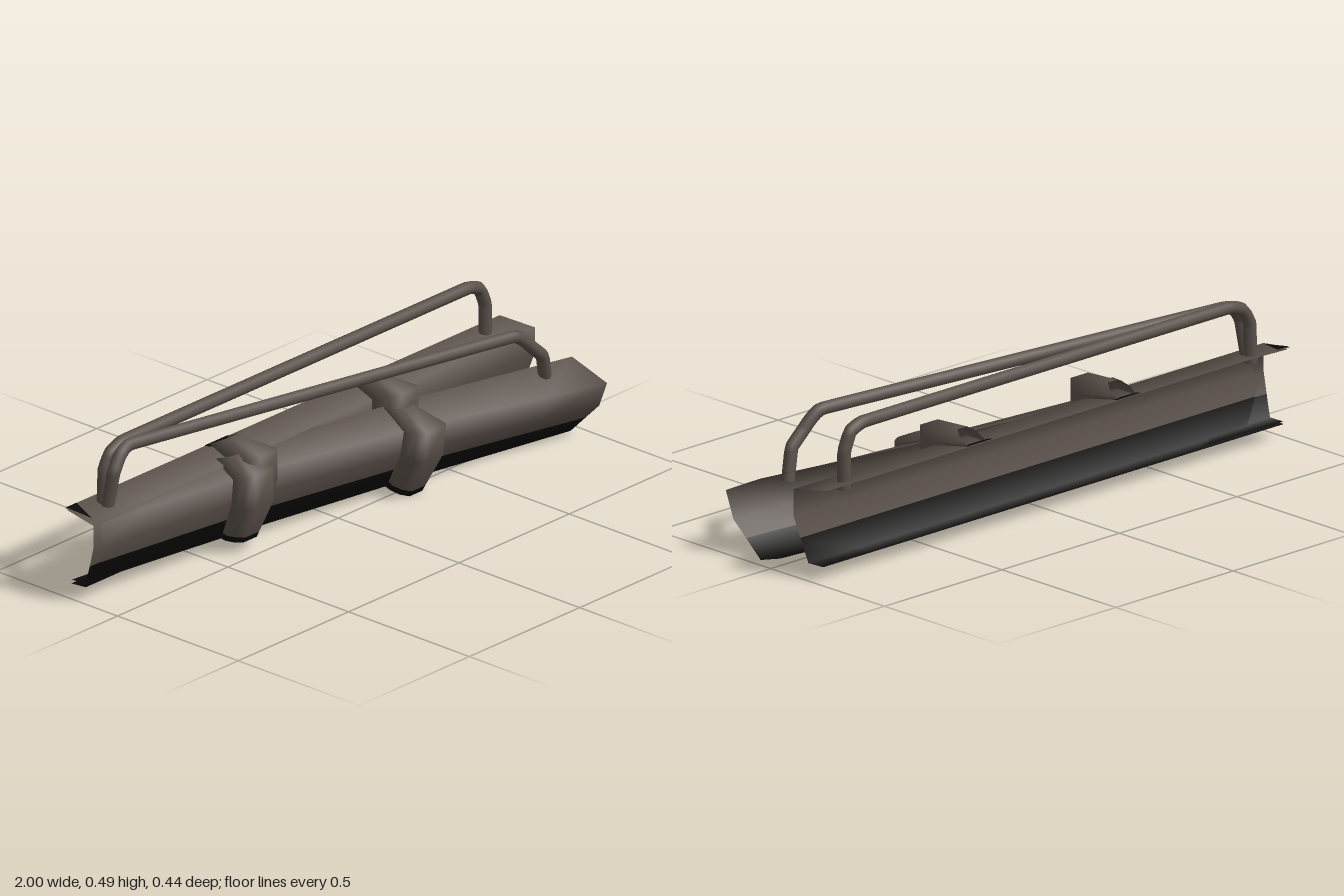
import * as THREE from 'three';

const steel = new THREE.MeshStandardMaterial({ color: 0x5a504a, side: THREE.DoubleSide });
steel.name = 'weathered steel';
const soot = new THREE.MeshStandardMaterial({ color: 0x0c0a09, side: THREE.DoubleSide });
soot.name = 'dark grime';

const lerp = (p, q, t) => p.map((v, i) => v + (q[i] - v) * t);

// Section at fraction t along a row of evenly spaced stations
function sectionAt(stations, t) {
  const k = Math.min(Math.floor(t * (stations.length - 1)), stations.length - 2);
  return stations[k].map((p, i) => lerp(p, stations[k + 1][i], t * (stations.length - 1) - k));
}

// Skin a row of open cross-sections running left to right; the strips from the fourth on are grimy
function skin(name, sections) {
  const n = sections[0].length, index = [];
  let split = 0;
  for (let j = 0; j < n - 1; j++) {
    if (j === 3) split = index.length;
    for (let i = 0; i < sections.length - 1; i++) {
      const a = i * n + j, b = a + n;
      index.push(a, a + 1, b, b, a + 1, b + 1);
    }
  }
  const geo = new THREE.BufferGeometry();
  geo.setAttribute('position', new THREE.Float32BufferAttribute(sections.flat(2), 3));
  geo.setIndex(index);
  geo.computeVertexNormals();
  geo.addGroup(0, split, 0);
  geo.addGroup(split, index.length - split, 1);
  const mesh = new THREE.Mesh(geo, [steel, soot]);
  mesh.name = name;
  return mesh;
}

// Insert the grime line part way down the lower face
const withGrimeLine = (s, t) => [...s.slice(0, 3), lerp(s[2], s[3], t), ...s.slice(3)];

// Bent round bar
function handle(points) {
  const path = new THREE.CatmullRomCurve3(points.map(p => new THREE.Vector3(...p)), false, 'catmullrom', 0.05);
  const mesh = new THREE.Mesh(new THREE.TubeGeometry(path, 110, 0.021, 8), steel);
  mesh.name = 'handle';
  return mesh;
}

// Clamp half width at each profile point, from top lip to bottom lip
const clampWidths = [0.04, 0.075, 0.075, 0.058, 0.046];

// Rail, handle and two clamps; stations run top lip, upper bend, lower bend, bottom bend, bottom lip
function railAssembly(name, stations, handlePoints, clamps) {
  const group = new THREE.Group();
  group.name = name;
  const sections = [];
  for (let i = 0; i <= 9; i++) sections.push(withGrimeLine(sectionAt(stations, i / 9), 0.47));
  group.add(skin('channelRail', sections), handle(handlePoints));

  // Clamps bulge out of the rail, narrowing towards the nose and the bottom
  clamps.forEach(({ x, outer }) => {
    const section = (side, t) => withGrimeLine(clampWidths.map((w, i) => {
      const px = x + side * w;
      const [, y, z] = sectionAt(stations, (px + 1) / 2)[i];
      return [px, ...lerp([y, z], outer[i], t)];
    }), 0.85);
    group.add(skin('clamp', [
      section(-0.9, 0), section(-1, 0.3), section(-0.85, 0.7), section(-0.5, 1),
      section(0.5, 1), section(0.85, 0.7), section(1, 0.3), section(0.9, 0),
    ]));
  });
  return group;
}

// Grimy patch lying on the rear rail's top flange, outlined by x, z points
function patch(points) {
  const geo = new THREE.ShapeGeometry(new THREE.Shape(points.map(([x, z]) => new THREE.Vector2(x, -z))));
  geo.rotateX(-Math.PI / 2);
  const pos = geo.attributes.position;
  for (let i = 0; i < pos.count; i++) pos.setY(i, 0.3 - (pos.getZ(i) + 0.218) * 0.127 + 0.003);
  geo.computeVertexNormals();
  const mesh = new THREE.Mesh(geo, soot);
  mesh.name = 'grimePatch';
  return mesh;
}

export function createModel() {
  const model = new THREE.Group();
  model.name = 'railPair';

  // Straight rear rail
  const rearClamp = [[0.337, -0.15], [0.32, -0.003], [0.22, -0.003], [0.045, -0.07], [0.035, -0.13]];
  const rear = railAssembly('rearRail', [
    [[-1, 0.3, -0.218], [-1, 0.285, -0.1], [-1, 0.2, -0.1], [-0.985, 0.052, -0.145], [-0.99, 0.05, -0.2]],
    [[0.97, 0.3, -0.218], [1, 0.285, -0.1], [1, 0.2, -0.1], [0.98, 0.052, -0.145], [0.97, 0.05, -0.2]],
  ], [[-0.875, 0.27, -0.173], [-0.87, 0.4, -0.173], [-0.845, 0.445, -0.173], [-0.78, 0.468, -0.173],
    [0.77, 0.468, -0.173], [0.83, 0.448, -0.173], [0.855, 0.39, -0.173], [0.855, 0.27, -0.173]],
  [{ x: -0.31, outer: rearClamp }, { x: 0.33, outer: rearClamp }]);
  for (const x of [-0.315, 0.32]) {
    rear.add(patch([[x - 0.055, -0.217], [x + 0.055, -0.217], [x + 0.045, -0.2], [x - 0.045, -0.2]]));
  }
  rear.add(patch([[-0.998, -0.215], [-0.95, -0.215], [-0.985, -0.12]]));
  model.add(rear);

  // Front rail, bowed outwards and rolled forward towards its left end
  model.add(railAssembly('frontRail', [
    [[-0.995, 0.293, -0.212], [-0.995, 0.272, -0.103], [-0.995, 0.19, -0.104], [-0.98, 0.062, -0.15], [-0.985, 0.06, -0.203]],
    [[-0.333, 0.286, -0.15], [-0.333, 0.257, -0.035], [-0.333, 0.175, -0.042], [-0.333, 0.036, -0.102], [-0.333, 0.042, -0.158]],
    [[0.333, 0.274, -0.042], [0.333, 0.232, 0.08], [0.333, 0.15, 0.063], [0.333, 0.022, -0.012], [0.333, 0.034, -0.075]],
    [[0.955, 0.26, 0.095], [0.98, 0.2, 0.218], [0.98, 0.115, 0.185], [0.965, 0.004, 0.08], [0.95, 0.022, 0.01]],
  ], [[-0.88, 0.27, -0.155], [-0.87, 0.4, -0.135], [-0.84, 0.44, -0.14], [-0.78, 0.462, -0.15],
    [0.68, 0.42, 0.105], [0.75, 0.365, 0.115], [0.8, 0.32, 0.115], [0.83, 0.22, 0.1]],
  [{ x: -0.36, outer: [[0.315, -0.08], [0.28, 0.02], [0.17, 0.024], [0.04, -0.035], [0.036, -0.11]] },
    { x: 0.297, outer: [[0.285, 0.02], [0.24, 0.13], [0.14, 0.125], [0.004, 0.05], [0.015, -0.04]] }]));

  return model;
}
